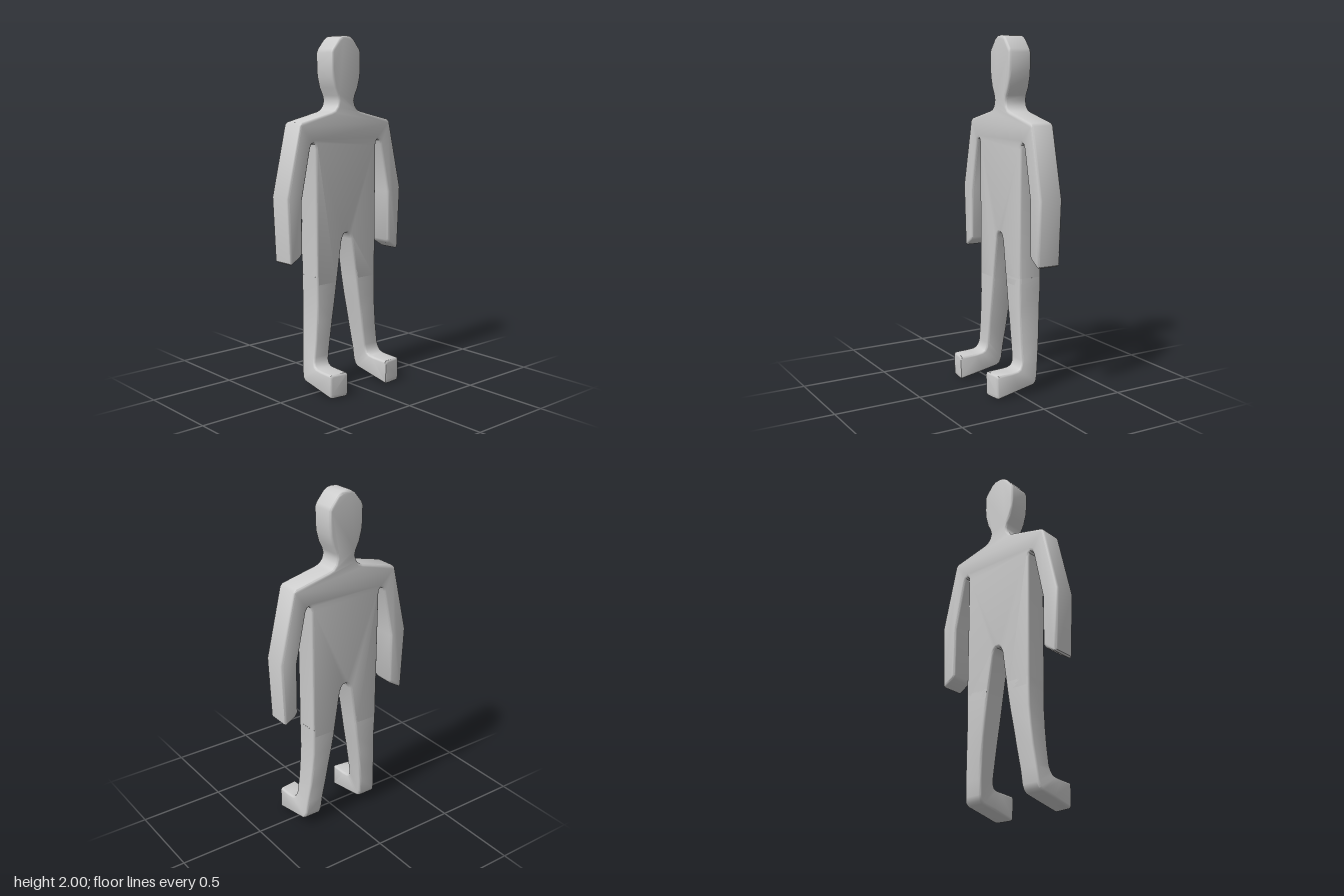
import * as THREE from 'three';
import { toCreasedNormals } from 'three/addons/utils/BufferGeometryUtils.js';

const BACK = -0.157, FRONT = -0.015, BEVEL = 0.014, CREASE = 0.7;
const material = new THREE.MeshStandardMaterial({ color: 0xcccccc });

// Half outline from crown to crotch; the other half is mirrored
const outline = [
  [0, 2], [0.03, 1.996], [0.055, 1.98], [0.1, 1.925], [0.108, 1.905],             // crown
  [0.108, 1.82], [0.103, 1.77], [0.087, 1.71], [0.066, 1.668], [0.059, 1.64],     // cheek, neck
  [0.067, 1.61], [0.085, 1.588], [0.11, 1.578], [0.32, 1.528], [0.335, 1.513],    // shoulder
  [0.426, 1.12], [0.408, 0.76], [0.398, 0.752], [0.335, 0.79], [0.322, 0.81],     // outer arm, hand
  [0.322, 1.1], [0.262, 1.385], [0.252, 1.408], [0.24, 1.413], [0.229, 1.404],    // inner arm, armpit
  [0.226, 1.38], [0.222, 0.6], [0.073, 0.6], [0.035, 0.85], [0.023, 0.879], [0.01, 0.89], // flank, crotch
];

function bodyGeometry() {
  const mirrored = outline.slice(1).reverse().map(([x, y]) => [-x, y]);
  const shape = new THREE.Shape([...outline, ...mirrored].map(([x, y]) => new THREE.Vector2(x, y)));
  const geometry = new THREE.ExtrudeGeometry(shape, {
    depth: FRONT - BACK - 2 * BEVEL,
    bevelThickness: BEVEL, bevelSize: BEVEL, bevelOffset: -BEVEL, bevelSegments: 3,
  });
  geometry.translate(0, 0, BACK + BEVEL);
  return toCreasedNormals(geometry, CREASE);
}

// Leg sections from thigh to toe: front z, y; back z, y; inner x, outer x
const legSections = [
  [FRONT, 0.66, BACK, 0.66, 0.064, 0.223],
  [FRONT, 0.6, BACK, 0.6, 0.073, 0.222],
  [FRONT, 0.5, -0.153, 0.5, 0.088, 0.221],
  [FRONT, 0.4, -0.148, 0.4, 0.105, 0.226],
  [FRONT, 0.3, -0.14, 0.29, 0.12, 0.234],
  [FRONT, 0.2, -0.127, 0.17, 0.135, 0.246],
  [-0.012, 0.175, -0.118, 0.09, 0.14, 0.252],
  [0, 0.152, -0.108, 0.06, 0.143, 0.257],
  [0.02, 0.142, -0.09, 0.047, 0.143, 0.26],
  [0.06, 0.139, 0, 0.03, 0.142, 0.262],
  [0.152, 0.137, 0.15, 0.001, 0.145, 0.261],
  [0.158, 0.132, 0.156, 0.003, 0.149, 0.257],
  [0.16, 0.124, 0.159, 0.012, 0.157, 0.249],
];

// Rounded rectangle, counterclockwise, w wide and h high
function roundedRing(w, h, r) {
  const ring = [];
  const centres = [[w - r, h - r], [r, h - r], [r, r], [w - r, r]];
  centres.forEach(([cx, cy], corner) => {
    for (let k = 0; k <= 3; k++) {
      const a = (corner + k / 3) * Math.PI / 2;
      ring.push([cx + r * Math.cos(a), cy + r * Math.sin(a)]);
    }
  });
  return ring;
}

function legGeometry(side) {
  const positions = [], index = [], n = 16;
  const tri = (a, b, c) => (side > 0 ? index.push(a, b, c) : index.push(a, c, b));
  legSections.forEach(([fz, fy, bz, by, inner, outer], i) => {
    const h = Math.hypot(bz - fz, by - fy);
    for (const [u, v] of roundedRing(outer - inner, h, BEVEL)) {
      const x = inner + u;
      const skew = i > 9 ? (x - 0.15) * 0.12 : 0; // toes slant back outwards
      positions.push(side * x, fy + (by - fy) * v / h, fz + (bz - fz) * v / h - skew);
    }
  });
  const last = (legSections.length - 1) * n;
  for (let i = 0; i < last; i += n) {
    for (let j = 0; j < n; j++) {
      const a = i + j, b = i + (j + 1) % n;
      tri(a, a + n, b);
      tri(b, a + n, b + n);
    }
  }
  for (let j = 1; j < n - 1; j++) {
    tri(0, j, j + 1);
    tri(last, last + j + 1, last + j);
  }
  const geometry = new THREE.BufferGeometry();
  geometry.setAttribute('position', new THREE.Float32BufferAttribute(positions, 3));
  geometry.setIndex(index);
  return toCreasedNormals(geometry, CREASE);
}

export function createModel() {
  const group = new THREE.Group();
  group.name = 'figure';
  const add = (name, geometry) => {
    const mesh = new THREE.Mesh(geometry, material);
    mesh.name = name;
    group.add(mesh);
  };
  // Flat head, torso and arms
  add('body', bodyGeometry());
  // Lower legs bending forward into the feet
  add('leftLegAndFoot', legGeometry(1));
  add('rightLegAndFoot', legGeometry(-1));
  return group;
}
